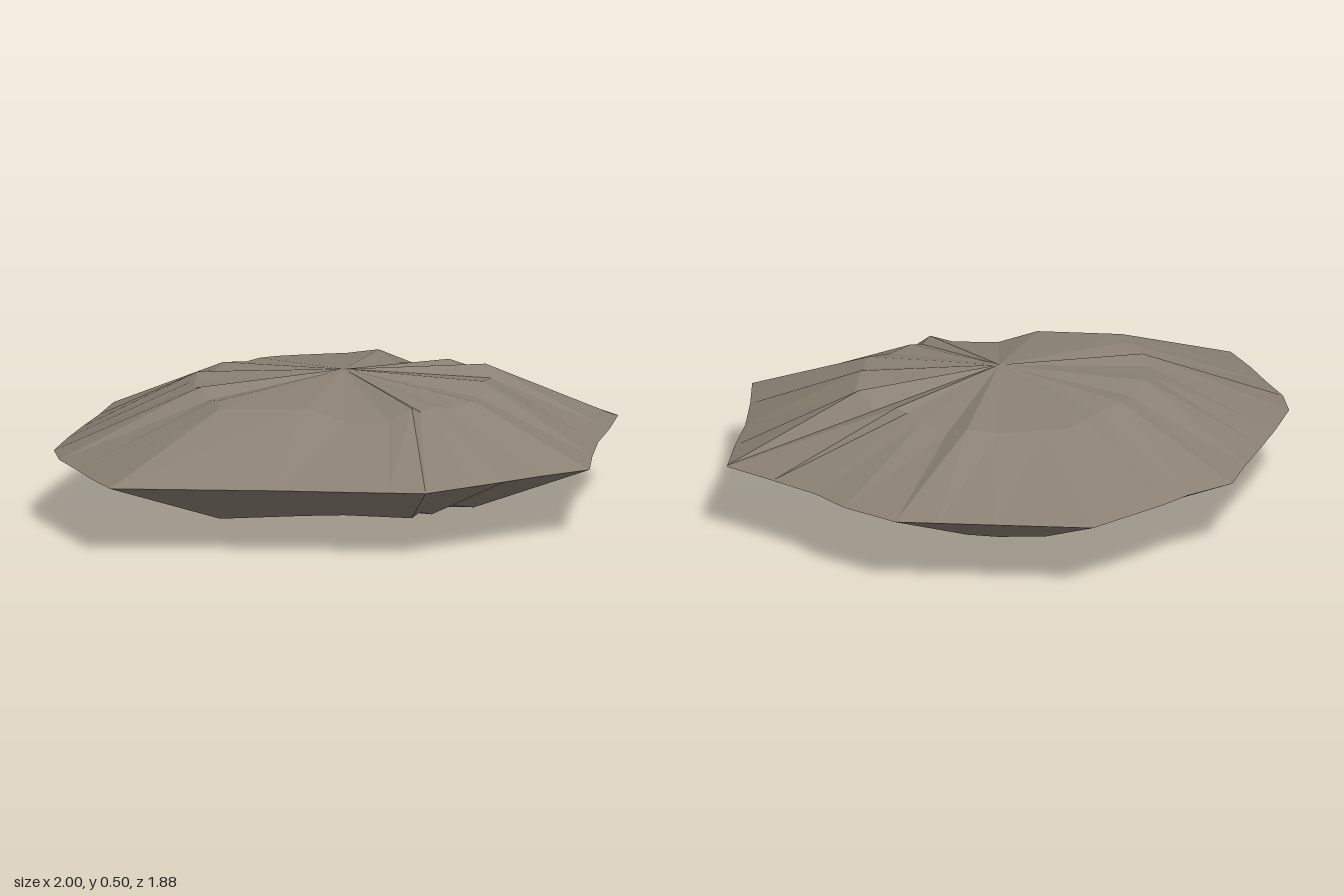
import * as THREE from 'three';

// Outer rim of the rock slab at mid height: x, z
const RIM = [
  [-0.29, -0.94], [0.06, -0.905], [0.26, -0.885], [0.41, -0.87], [0.59, -0.72], [0.69, -0.58],
  [0.84, -0.44], [1, -0.295], [0.998, -0.28], [0.97, -0.08], [0.93, 0.13], [0.91, 0.35],
  [0.9, 0.56], [0.73, 0.66], [0.6, 0.75], [0.48, 0.83], [0.32, 0.935], [0.19, 0.925],
  [0.06, 0.915], [-0.22, 0.89], [-0.8, 0.86], [-0.87, 0.7], [-0.92, 0.56], [-0.98, 0.41],
  [-1, 0.26], [-0.95, 0.06], [-0.9, -0.11], [-0.84, -0.3], [-0.79, -0.49], [-0.63, -0.61],
  [-0.54, -0.71], [-0.41, -0.83],
];
// Fluted shoulder about halfway to the rim: x, z
const SHOULDER = [
  [-0.13, -0.44], [0.04, -0.47], [0.15, -0.46], [0.22, -0.41], [0.31, -0.34], [0.36, -0.27],
  [0.4, -0.27], [0.47, -0.21], [0.53, -0.13], [0.55, -0.08], [0.52, 0.1], [0.51, 0.21],
  [0.49, 0.31], [0.41, 0.37], [0.34, 0.42], [0.3, 0.45], [0.27, 0.48], [0.19, 0.53],
  [0.03, 0.52], [-0.11, 0.51], [-0.41, 0.49], [-0.42, 0.39], [-0.45, 0.31], [-0.48, 0.235],
  [-0.5, 0.16], [-0.5, 0.06], [-0.49, -0.03], [-0.43, -0.13], [-0.4, -0.22], [-0.32, -0.29],
  [-0.27, -0.35], [-0.21, -0.42],
];
// Shoulder heights above and below
const TOP = [
  0.435, 0.435, 0.45, 0.415, 0.43, 0.44, 0.46, 0.43, 0.475, 0.435, 0.465, 0.43,
  0.44, 0.43, 0.445, 0.435, 0.455, 0.415, 0.415, 0.46, 0.455, 0.46, 0.445, 0.475,
  0.455, 0.46, 0.47, 0.45, 0.46, 0.445, 0.445, 0.435,
];
const BOTTOM = [
  0.035, 0.045, 0.05, 0.055, 0.05, 0.065, 0.05, 0.07, 0.055, 0.07, 0.065, 0.075,
  0.055, 0.075, 0.055, 0.07, 0.055, 0.07, 0.075, 0.07, 0.055, 0.065, 0.045, 0.065,
  0.045, 0.055, 0.045, 0.06, 0.035, 0.05, 0.045, 0.045,
];
const MID = 0.25;

// One half of the slab: a fan around the peak, then a band down to the rim
function halfShell(peakY, heights, upward) {
  const positions = [];
  const tri = (a, b, c) => positions.push(...(upward ? [a, c, b] : [a, b, c]).flat());
  const peak = [0.03, peakY, 0.06];
  const shoulder = SHOULDER.map(([x, z], i) => [x, heights[i], z]);
  const rim = RIM.map(([x, z]) => [x, MID, z]);
  rim.forEach((c, i) => {
    const j = (i + 1) % rim.length;
    const a = shoulder[i], b = shoulder[j], d = rim[j];
    tri(peak, a, b);
    tri(a, c, d);
    tri(a, d, b);
  });
  const geometry = new THREE.BufferGeometry();
  geometry.setAttribute('position', new THREE.Float32BufferAttribute(positions, 3));
  geometry.computeVertexNormals(); // unshared corners give flat facets
  return geometry;
}

export function createModel() {
  const stone = new THREE.MeshStandardMaterial({ color: 0x8a8073 });
  stone.name = 'stone';
  const upper = new THREE.Mesh(halfShell(0.5, TOP, true), stone);
  upper.name = 'upperRock';
  const lower = new THREE.Mesh(halfShell(0, BOTTOM, false), stone);
  lower.name = 'lowerRock';
  const model = new THREE.Group();
  model.name = 'rockSlab';
  model.add(upper, lower);
  return model;
}
